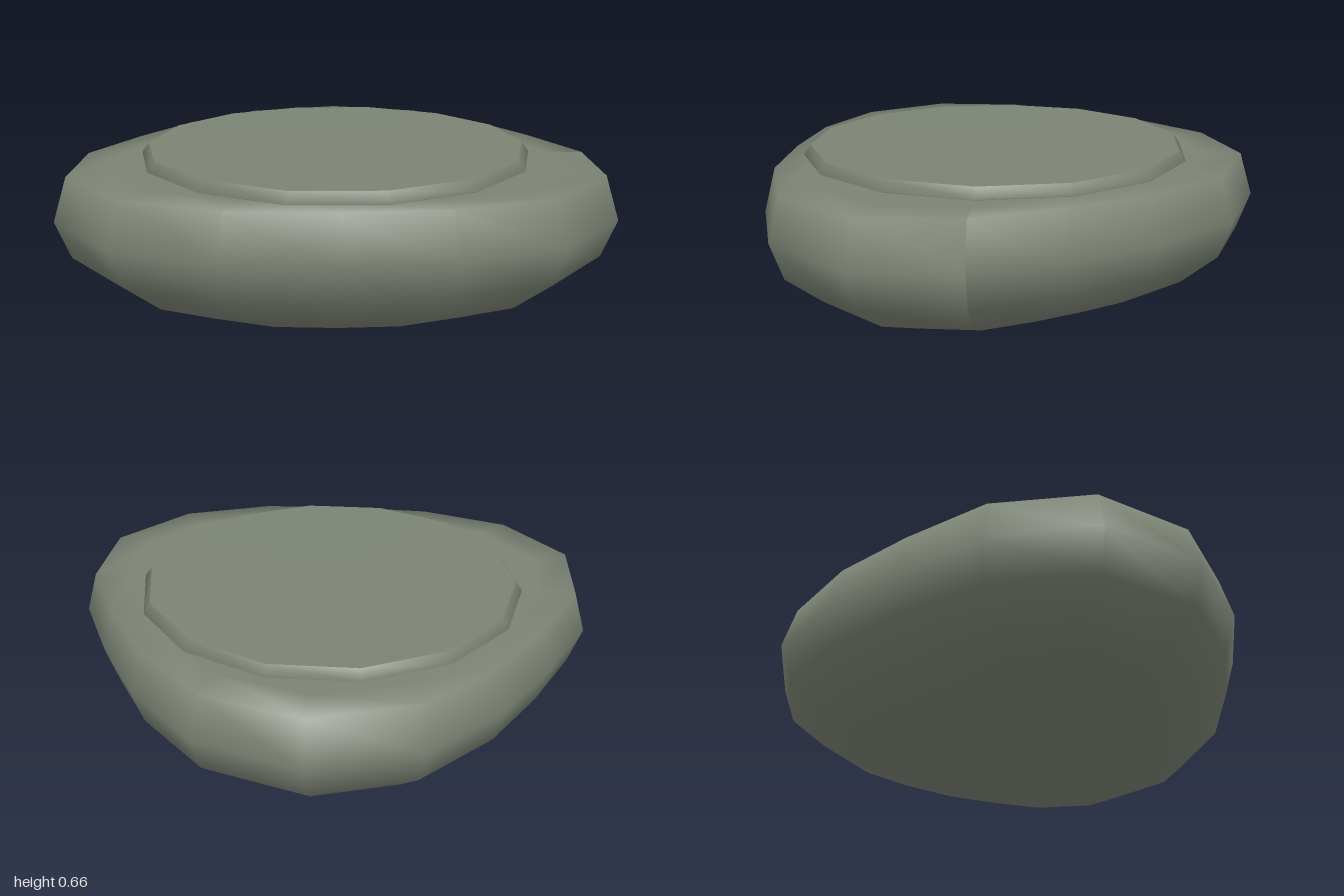
import * as THREE from 'three';

const CENTRE_Z = 0.08; // axis shared by the stone body and the cap

// Half of the widest outline (x >= 0), from the back tip round to the front
const BACK = [[1, 0.08], [0.84, -0.24], [0.66, -0.53], [0.39, -0.8], [0, -0.92]];
const FRONT = [[1, 0.08], [1, 0.46], [0.75, 0.77], [0.38, 0.9], [0, 0.92]];

// Outline corner i of 16, starting at +x and running round the back
function outline(i) {
  const k = i % 16;
  const [half, j] = k <= 8 ? [BACK, k] : [FRONT, 16 - k];
  const [x, z] = half[j <= 4 ? j : 8 - j];
  return [j <= 4 ? x : -x, z];
}

// Rounded bowl with a flat top: a sphere whose rings follow the outline
function bodyGeometry() {
  const rings = 10, sides = 16;
  const heights = [0.61, 0.61, 0.61, 0.61, 0.61, 0.45, 0.31, 0.19, 0.09, 0.025, 0];
  const geo = new THREE.SphereGeometry(1, sides, rings, Math.PI);
  const pos = geo.attributes.position;
  for (let r = 0; r <= rings; r++) {
    const scale = Math.sin((r / rings) * Math.PI);
    for (let i = 0; i <= sides; i++) {
      const [x, z] = outline(i);
      pos.setXYZ(r * (sides + 1) + i, x * scale, heights[r], CENTRE_Z + (z - CENTRE_Z) * scale);
    }
  }
  geo.computeVertexNormals();
  return geo;
}

export function createModel() {
  const group = new THREE.Group();
  const stone = new THREE.MeshStandardMaterial({ color: 0x7c8475 });
  stone.name = 'grey green stone';

  const add = (name, geo, z = 0) => {
    const mesh = new THREE.Mesh(geo, stone);
    mesh.name = name;
    mesh.position.z = z;
    group.add(mesh);
  };
  const lathe = (points) => new THREE.LatheGeometry(
    points.map(([x, y]) => new THREE.Vector2(x, y)), 14, Math.PI / 2);

  add('stoneBody', bodyGeometry());

  // Thin fourteen-sided slab: bevelled edge and slightly domed top
  add('slabEdge', lathe([[0.725, 0.605], [0.745, 0.615], [0.718, 0.652]]), CENTRE_Z);
  add('slabTop', lathe([[0.718, 0.652], [0, 0.66]]), CENTRE_Z);
  return group;
}
